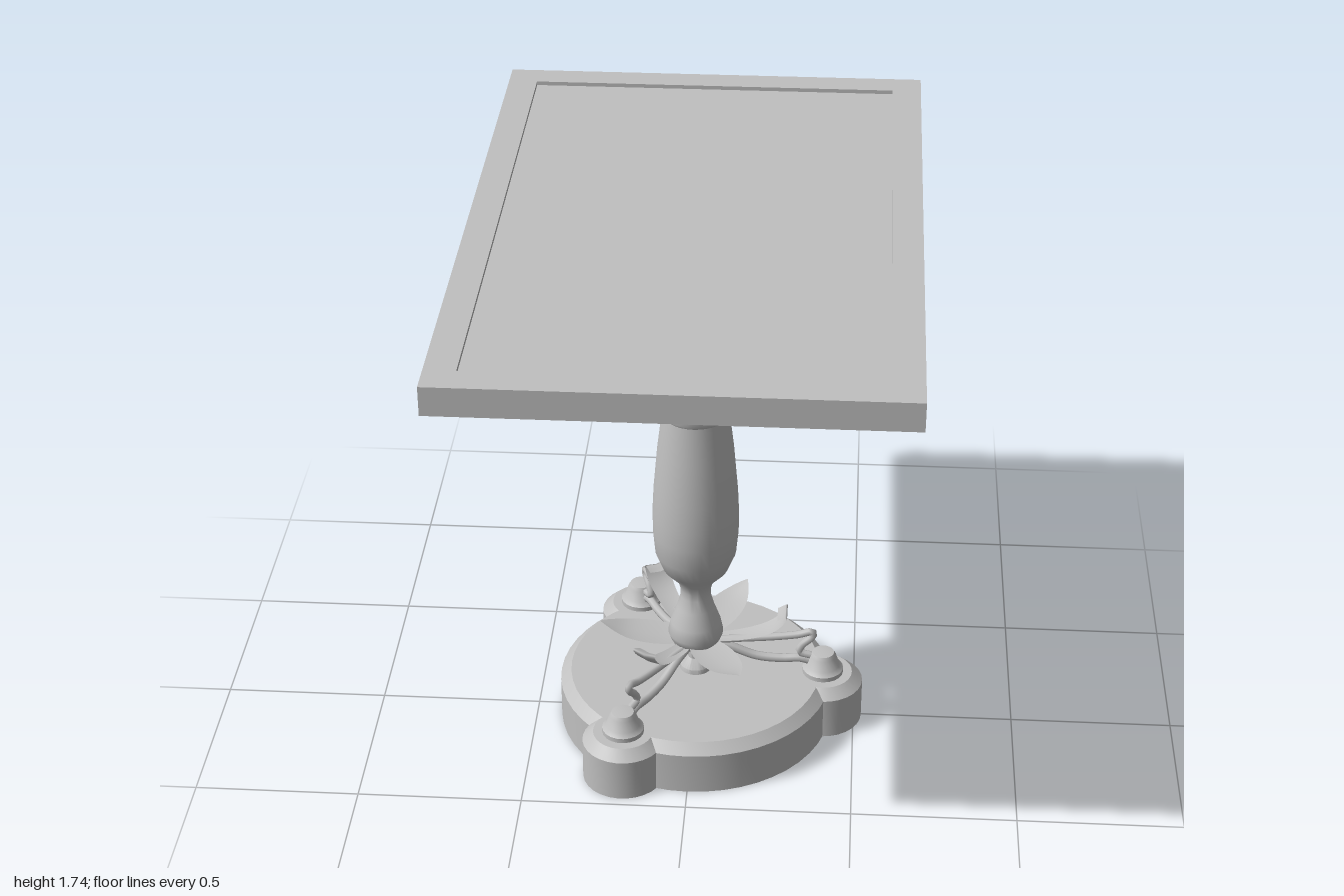
import * as THREE from 'three';
import { toCreasedNormals } from 'three/addons/utils/BufferGeometryUtils.js';

const stone = new THREE.MeshStandardMaterial({ color: 0xc0c0c0, side: THREE.DoubleSide });
stone.name = 'light grey';

function add(parent, name, geometry) {
  const mesh = new THREE.Mesh(geometry, stone);
  mesh.name = name;
  parent.add(mesh);
  return mesh;
}

// Turned part from [radius, height] pairs, bottom to top
function turned(profile, segments) {
  const pts = profile.map(([r, y]) => new THREE.Vector2(r, y));
  return toCreasedNormals(new THREE.LatheGeometry(pts, segments), 0.6);
}

// Curve in the x-y plane, x pointing away from the column
function path(points) {
  return new THREE.CatmullRomCurve3(points.map(([x, y]) => new THREE.Vector3(x, y, 0)));
}

// Thin blade along a path; widthAt(t) gives its half width, edges lift a little
function blade(points, widthAt, steps = 14) {
  const curve = path(points);
  const pos = [], index = [];
  for (let i = 0; i <= steps; i++) {
    const t = i / steps;
    const p = curve.getPoint(t);
    const w = widthAt(t);
    for (const s of [-1, 0, 1]) pos.push(p.x, p.y + Math.abs(s) * w * 0.15, s * w);
    if (i < steps) {
      for (const k of [0, 1]) {
        const a = i * 3 + k;
        index.push(a, a + 1, a + 3, a + 1, a + 4, a + 3);
      }
    }
  }
  const g = new THREE.BufferGeometry();
  g.setAttribute('position', new THREE.Float32BufferAttribute(pos, 3));
  g.setIndex(index);
  g.computeVertexNormals();
  return g;
}

function rectangle(Type, w, d) {
  const r = new Type();
  r.moveTo(-w, -d).lineTo(w, -d).lineTo(w, d).lineTo(-w, d).closePath();
  return r;
}

export function createModel() {
  const model = new THREE.Group();
  model.name = 'pedestalTable';

  // Table top: slab with a raised border around a shallow panel
  const top = new THREE.Group();
  top.name = 'tableTop';
  model.add(top);
  add(top, 'slab', new THREE.BoxGeometry(1.29, 0.073, 2)).position.y = 1.6915;
  const border = rectangle(THREE.Shape, 0.645, 1);
  border.holes.push(rectangle(THREE.Path, 0.557, 0.912));
  const borderGeometry = new THREE.ExtrudeGeometry(border, { depth: 0.012, bevelEnabled: false });
  borderGeometry.rotateX(-Math.PI / 2);
  add(top, 'border', borderGeometry).position.y = 1.728;

  // Turned column
  add(model, 'column', turned([
    [0.05, 0.165], [0.048, 0.18], [0.024, 0.208], [0.024, 0.235], [0.045, 0.25],
    [0.075, 0.275], [0.086, 0.305], [0.078, 0.345], [0.058, 0.4], [0.047, 0.44],
    [0.047, 0.465], [0.055, 0.495], [0.1, 0.545], [0.124, 0.605], [0.131, 0.68],
    [0.132, 0.745], [0.128, 0.83], [0.116, 0.97], [0.101, 1.095],
    [0.104, 1.1], [0.104, 1.13], [0.098, 1.165],
    [0.092, 1.168], [0.079, 1.32], [0.066, 1.475],
    [0.076, 1.475], [0.082, 1.482], [0.082, 1.496], [0.076, 1.504],
    [0.067, 1.504], [0.072, 1.55], [0.082, 1.6], [0.102, 1.656],
  ], 32));

  // Base: a bevelled disc with three matching lobes
  const base = new THREE.Group();
  base.name = 'base';
  model.add(base);
  const plinth = (r, segments) => turned(
    [[0, 0], [r, 0], [r, 0.135], [r - 0.033, 0.165], [0, 0.165]], segments);
  add(base, 'baseDisc', plinth(0.425, 48));

  const lobe = plinth(0.125, 28);
  const foot = turned([
    [0.064, 0.163], [0.064, 0.18], [0.052, 0.192], [0.041, 0.225], [0.034, 0.237], [0, 0.241],
  ], 20);

  // Scroll arm: out from the column, up into a bend and back down to the foot
  const upperArm = new THREE.TubeGeometry(path([
    [0.02, 0.265], [0.12, 0.276], [0.24, 0.288], [0.32, 0.3], [0.365, 0.312],
    [0.366, 0.295], [0.335, 0.262], [0.325, 0.235], [0.365, 0.222],
  ]), 40, 0.012, 8);
  const lowerArm = new THREE.TubeGeometry(path([
    [0.02, 0.27], [0.1, 0.25], [0.19, 0.215], [0.27, 0.208], [0.33, 0.212], [0.37, 0.2],
  ]), 24, 0.014, 8);

  // Curled leaf over each arm, pointed petal between the arms
  const leaf = blade(
    [[0.03, 0.275], [0.13, 0.285], [0.22, 0.312], [0.265, 0.345], [0.285, 0.38], [0.255, 0.368]],
    t => 0.022 + 0.018 * Math.sin(Math.PI * t * 0.75));
  const petal = blade(
    [[0.02, 0.275], [0.12, 0.28], [0.22, 0.295], [0.3, 0.325]],
    t => 0.062 * Math.pow(Math.sin(Math.PI * (0.18 + 0.82 * t)), 0.9) + 0.0005);

  for (let i = 0; i < 3; i++) {
    const arm = new THREE.Group();
    arm.name = 'arm' + (i + 1);
    arm.rotation.y = i * Math.PI * 2 / 3;
    model.add(arm);
    add(arm, 'baseLobe', lobe).position.x = 0.4;
    add(arm, 'footKnob', foot).position.x = 0.4;
    add(arm, 'upperScroll', upperArm);
    add(arm, 'lowerScroll', lowerArm);
    add(arm, 'curledLeaf', leaf);
    add(arm, 'pointedPetal', petal).rotation.y = Math.PI / 3;
  }
  return model;
}
